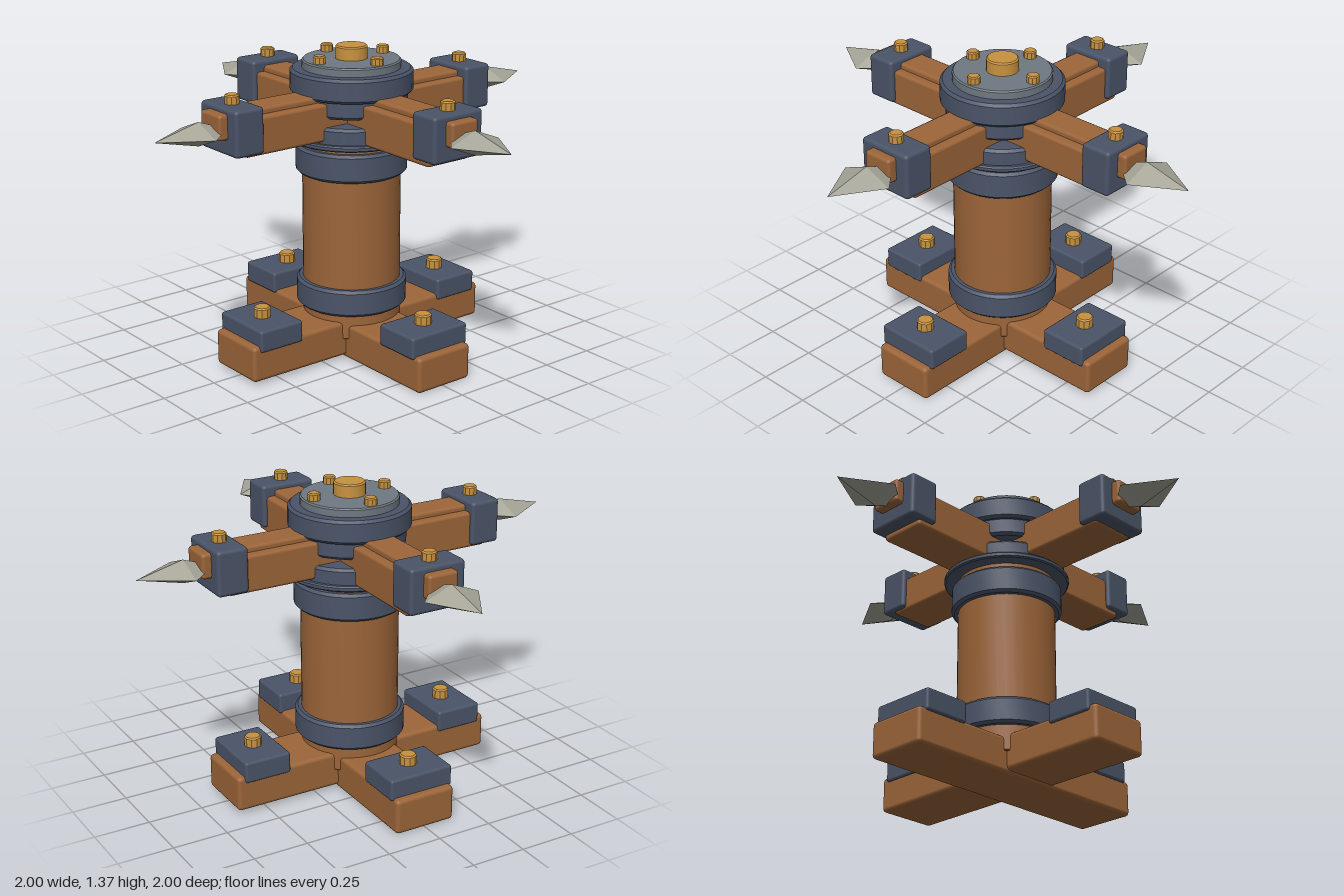
import * as THREE from 'three';
import { toCreasedNormals } from 'three/addons/utils/BufferGeometryUtils.js';
import { RoundedBoxGeometry } from 'three/addons/geometries/RoundedBoxGeometry.js';

const material = (name, color, flatShading = false) => {
  const m = new THREE.MeshStandardMaterial({ color, flatShading });
  m.name = name;
  return m;
};

export function createModel() {
  const wood = material('wood', 0x9c6539);
  const iron = material('dark iron', 0x4a5468);
  const steel = material('grey plate', 0x6f7982);
  const brass = material('brass', 0xc8923f);
  const blade = material('blade', 0xa6a598, true);

  const model = new THREE.Group();
  model.name = 'spikedPost';

  const add = (parent, name, geometry, mat, x = 0, y = 0, z = 0) => {
    const mesh = new THREE.Mesh(geometry, mat);
    mesh.name = name;
    mesh.position.set(x, y, z);
    parent.add(mesh);
    return mesh;
  };

  // Rounded block spanning x0..x1, y0..y1 and +-halfZ
  const block = (parent, name, mat, x0, x1, y0, y1, halfZ, r = 0.014) =>
    add(parent, name, new RoundedBoxGeometry(x1 - x0, y1 - y0, halfZ * 2, 2, r),
      mat, (x0 + x1) / 2, (y0 + y1) / 2, 0);

  // Solid of revolution with bevelled rims, y0..y1
  const drum = (parent, name, mat, r, y0, y1, sides = 40, b = 0.012, x = 0, z = 0) => {
    const profile = [[0, y0], [r - b, y0], [r, y0 + b], [r, y1 - b], [r - b, y1], [0, y1]]
      .map(([px, py]) => new THREE.Vector2(px, py));
    const geometry = toCreasedNormals(new THREE.LatheGeometry(profile, sides), 0.6);
    return add(parent, name, geometry, mat, x, 0, z);
  };

  // Column and its collars
  drum(model, 'column', wood, 0.217, 0.1, 1.0, 40, 0.005);
  drum(model, 'lowerCollar', iron, 0.245, 0.215, 0.335);
  drum(model, 'upperCollar', iron, 0.245, 0.825, 0.95);

  // Hub clamping the arms from below and above
  drum(model, 'lowerHubFlange', iron, 0.28, 0.975, 1.0, 40, 0.006);
  drum(model, 'lowerHub', iron, 0.26, 0.98, 1.07);
  drum(model, 'upperHub', iron, 0.245, 1.105, 1.21);
  drum(model, 'upperHubRim', iron, 0.268, 1.18, 1.285);
  drum(model, 'topPlate', steel, 0.215, 1.27, 1.322, 40, 0.006);
  drum(model, 'topBoss', brass, 0.07, 1.31, 1.38, 24, 0.006);

  // Crossed beams, the pair along z sitting slightly lower
  [0, Math.PI / 2].forEach((turn, i) => {
    const cross = new THREE.Group();
    cross.name = i ? 'frontBackBeams' : 'sideBeams';
    cross.rotation.y = turn;
    model.add(cross);
    const drop = i * 0.014;
    block(cross, 'footBeam', wood, -0.638, 0.638, 0.02 - drop, 0.18 - drop, 0.143, 0.018);
    block(cross, 'armBeam', wood, -0.635, 0.635, 1.009 - drop, 1.172 - drop / 4, 0.11);
    block(cross, 'armCore', wood, -0.735, 0.735, 1.088, 1.198 - drop / 6, 0.07);
  });

  // Blade: flattened four-sided double taper pointing along +x
  const bladeGeometry = new THREE.LatheGeometry(
    [[0, 0.715], [0.06, 0.715], [0.128, 0.79], [0, 1]].map(([r, h]) => new THREE.Vector2(r, h)), 4);
  bladeGeometry.rotateZ(-Math.PI / 2).scale(1, 0.4, 1);

  // Fittings repeated on each of the four sides
  ['left', 'back', 'right', 'front'].forEach((side, i) => {
    const g = new THREE.Group();
    g.name = side + 'Fittings';
    g.rotation.y = i * Math.PI / 2;
    model.add(g);
    block(g, 'footPlate', iron, 0.385, 0.605, 0.152, 0.25, 0.152, 0.012);
    drum(g, 'footBolt', brass, 0.038, 0.24, 0.295, 10, 0.006, 0.492);
    block(g, 'armBracket', iron, 0.553, 0.695, 1.02, 1.22, 0.13, 0.016);
    drum(g, 'armBolt', brass, 0.032, 1.21, 1.259, 10, 0.006, 0.624);
    drum(g, 'plateBolt', brass, 0.028, 1.31, 1.355, 10, 0.005, 0.174);
    add(g, 'blade', bladeGeometry, blade, 0, 1.117, 0);
  });

  return model;
}
